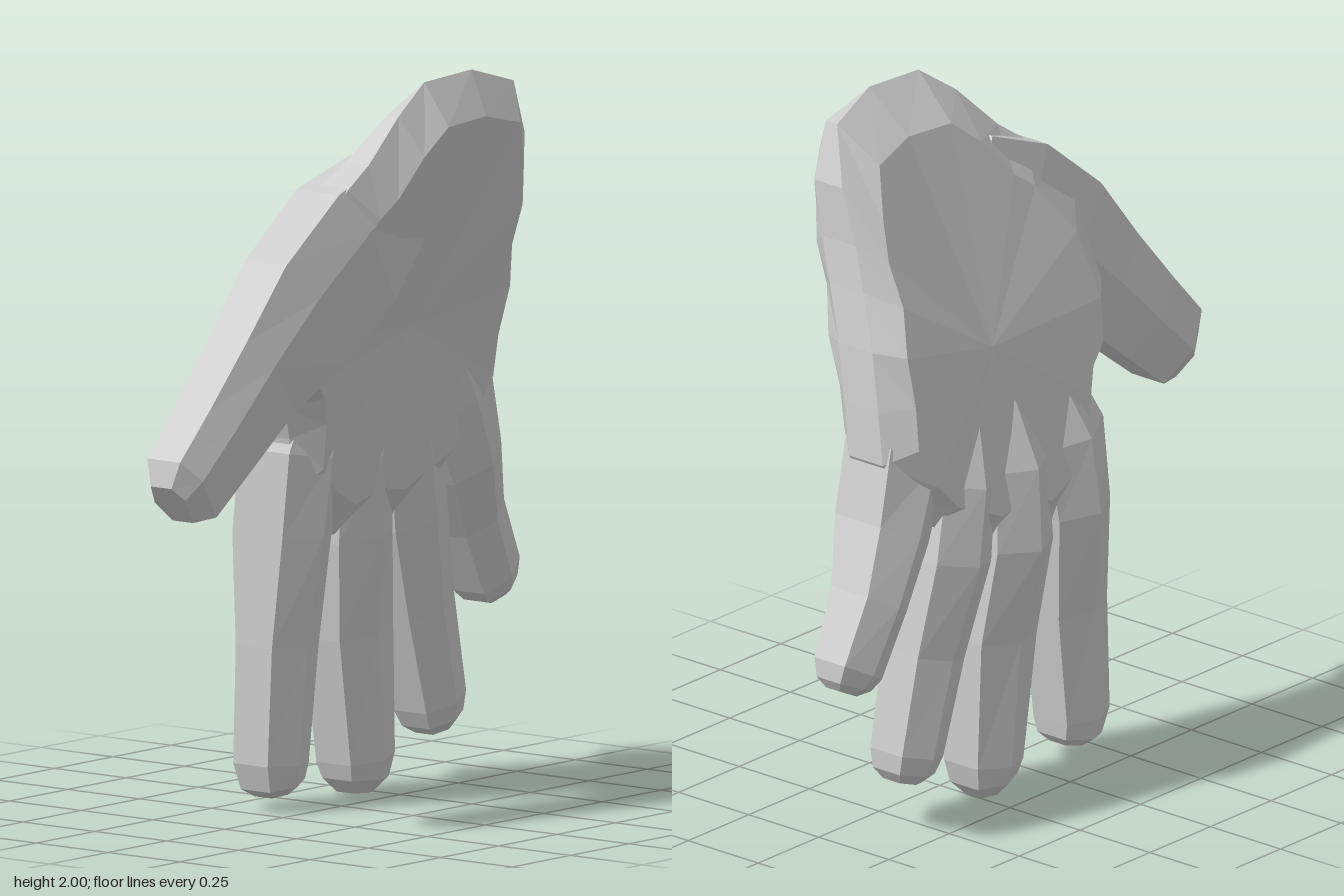
import * as THREE from 'three';

// Closed skin over a list of rings, capped by a fan at each end
function skin(name, rings, capA, capB) {
  const n = rings[0].length;
  const mean = (r) => r.reduce((s, p) => s.add(p), new THREE.Vector3()).divideScalar(n);
  const pts = rings.flat();
  const last = rings.length - 1;
  const a = pts.push(capA || mean(rings[0])) - 1;
  const b = pts.push(capB || mean(rings[last])) - 1;
  const idx = [];
  for (let i = 0; i < n; i++) {
    const j = (i + 1) % n;
    idx.push(a, j, i, b, last * n + i, last * n + j);
    for (let r = 0; r < last; r++) {
      const p = r * n, q = p + n;
      idx.push(p + i, p + j, q + j, p + i, q + j, q + i);
    }
  }
  // turn faces outward if the enclosed volume comes out negative
  let volume = 0;
  const c = new THREE.Vector3();
  for (let k = 0; k < idx.length; k += 3) {
    volume += pts[idx[k]].dot(c.crossVectors(pts[idx[k + 1]], pts[idx[k + 2]]));
  }
  if (volume < 0) idx.reverse();
  let geo = new THREE.BufferGeometry().setFromPoints(pts);
  geo.setIndex(idx);
  geo = geo.toNonIndexed();
  geo.computeVertexNormals();
  const mesh = new THREE.Mesh(geo, new THREE.MeshStandardMaterial({ color: 0xcccccc, flatShading: true }));
  mesh.name = name;
  return mesh;
}

// Six-sided digit; stations are [z, y, x, half width, half thickness],
// ridge shifts the palm-side crest across the width
function digit(name, stations, ridge = 0) {
  const rings = stations.map(([z, y, x, w, h], i) => {
    const p = stations[Math.max(i - 1, 0)], q = stations[Math.min(i + 1, stations.length - 1)];
    const len = Math.hypot(q[0] - p[0], q[1] - p[1]);
    const dz = -(q[1] - p[1]) / len, dy = (q[0] - p[0]) / len;
    return [[ridge, 1], [1, 0.6], [1, -0.6], [0, -1], [-1, -0.6], [-1, 0.6]].map(([u, v]) =>
      new THREE.Vector3(x + v * h, y + u * w * dy, z + u * w * dz));
  });
  return skin(name, rings);
}

// Leaning hand: [height, x of the back surface, x of the palm surface]
const LEAN = [
  [0.7, -0.225, 0.0], [1.0, -0.215, 0.045], [1.2, -0.18, 0.09], [1.4, -0.14, 0.145],
  [1.6, -0.045, 0.215], [1.75, 0.015, 0.25], [1.87, 0.065, 0.272], [2.0, 0.2, 0.2],
];
function lean(y, side) {
  let k = 0;
  while (k < LEAN.length - 2 && y > LEAN[k + 1][0]) k++;
  const t = (y - LEAN[k][0]) / (LEAN[k + 1][0] - LEAN[k][0]);
  return THREE.MathUtils.lerp(LEAN[k][side], LEAN[k + 1][side], t);
}

// Palm outline: [z, y, half width of the edge strip, inset scale]
const OUTLINE = [
  [-0.11, 1.99, 0, 0.83], [-0.31, 2.0, 0, 0.83], [-0.48, 1.95, 0.02, 0.84],
  [-0.54, 1.8, 0.05, 0.83], [-0.55, 1.65, 0.06, 0.88], [-0.57, 1.53, 0.06, 0.84],
  [-0.6, 1.38, 0.06, 0.88], [-0.62, 1.22, 0.06, 0.83], [-0.635, 1.08, 0.06, 0.83],
  [-0.56, 0.95, 0.06, 0.85], [-0.465, 0.86, 0.07, 0.86], [-0.37, 0.82, 0.07, 0.86],
  [-0.255, 0.76, 0.07, 0.85], [-0.13, 0.78, 0.07, 0.85], [-0.01, 0.74, 0.07, 0.85],
  [0.1, 0.8, 0.07, 0.85], [0.18, 0.88, 0.07, 0.85], [0.2, 1.03, 0.06, 0.85],
  [0.23, 1.12, 0.05, 0.85], [0.29, 1.18, 0.05, 0.85], [0.33, 1.32, 0.06, 0.82],
  [0.31, 1.55, 0.06, 0.8], [0.19, 1.73, 0.05, 0.8], [0.11, 1.79, 0.04, 0.8], [0.0, 1.91, 0.02, 0.82],
];

function palm() {
  const cy = 1.3, cz = -0.2;
  const edge = (sign) => OUTLINE.map(([z, y, e]) =>
    new THREE.Vector3((lean(y, 1) + lean(y, 2)) / 2 + sign * e, y, z));
  const face = (side) => OUTLINE.map(([z, y, , s]) => {
    const py = cy + (y - cy) * s;
    return new THREE.Vector3(lean(py, side), py, cz + (z - cz) * s);
  });
  return skin('palm', [face(2), edge(1), edge(-1), face(1)],
    new THREE.Vector3(0.085, cy, cz), new THREE.Vector3(-0.145, cy, cz));
}

export function createModel() {
  const hand = new THREE.Group();
  hand.name = 'hand';
  // each digit begins inside the palm and rises gradually out of it
  hand.add(
    palm(),
    digit('thumb', [
      [-0.06, 1.67, 0.11, 0.15, 0.1], [0.1, 1.56, 0.095, 0.2, 0.125], [0.3, 1.4, 0.08, 0.195, 0.12],
      [0.47, 1.25, 0.07, 0.15, 0.11], [0.62, 1.1, 0.06, 0.13, 0.105], [0.755, 0.975, 0.058, 0.115, 0.095],
      [0.8, 0.935, 0.06, 0.07, 0.06],
    ], 0.35),
    digit('indexFinger', [
      [0.03, 1.22, -0.05, 0.08, 0.09], [0.095, 0.97, -0.1, 0.115, 0.145], [0.115, 0.75, -0.115, 0.105, 0.145],
      [0.135, 0.45, -0.115, 0.1, 0.105], [0.155, 0.13, -0.12, 0.088, 0.1], [0.147, 0.07, -0.12, 0.075, 0.085],
      [0.143, 0.045, -0.12, 0.045, 0.05],
    ]),
    digit('middleFinger', [
      [-0.14, 1.2, -0.055, 0.07, 0.09], [-0.13, 0.95, -0.105, 0.105, 0.145], [-0.14, 0.72, -0.12, 0.115, 0.15],
      [-0.17, 0.45, -0.115, 0.115, 0.105], [-0.207, 0.1, -0.12, 0.095, 0.1], [-0.207, 0.045, -0.12, 0.08, 0.085],
      [-0.205, 0.005, -0.12, 0.045, 0.045],
    ]),
    digit('ringFinger', [
      [-0.27, 1.2, -0.055, 0.07, 0.09], [-0.335, 0.95, -0.1, 0.105, 0.14], [-0.38, 0.74, -0.115, 0.115, 0.14],
      [-0.45, 0.48, -0.115, 0.1, 0.105], [-0.525, 0.215, -0.12, 0.088, 0.095], [-0.537, 0.165, -0.12, 0.075, 0.08],
      [-0.545, 0.137, -0.12, 0.045, 0.05],
    ]),
    digit('littleFinger', [
      [-0.37, 1.28, -0.03, 0.12, 0.1], [-0.49, 1.06, -0.06, 0.14, 0.135], [-0.575, 0.87, -0.075, 0.112, 0.135],
      [-0.67, 0.7, -0.11, 0.092, 0.108], [-0.767, 0.53, -0.12, 0.087, 0.09], [-0.785, 0.49, -0.12, 0.07, 0.07],
      [-0.795, 0.47, -0.12, 0.04, 0.04],
    ]),
  );
  return hand;
}
